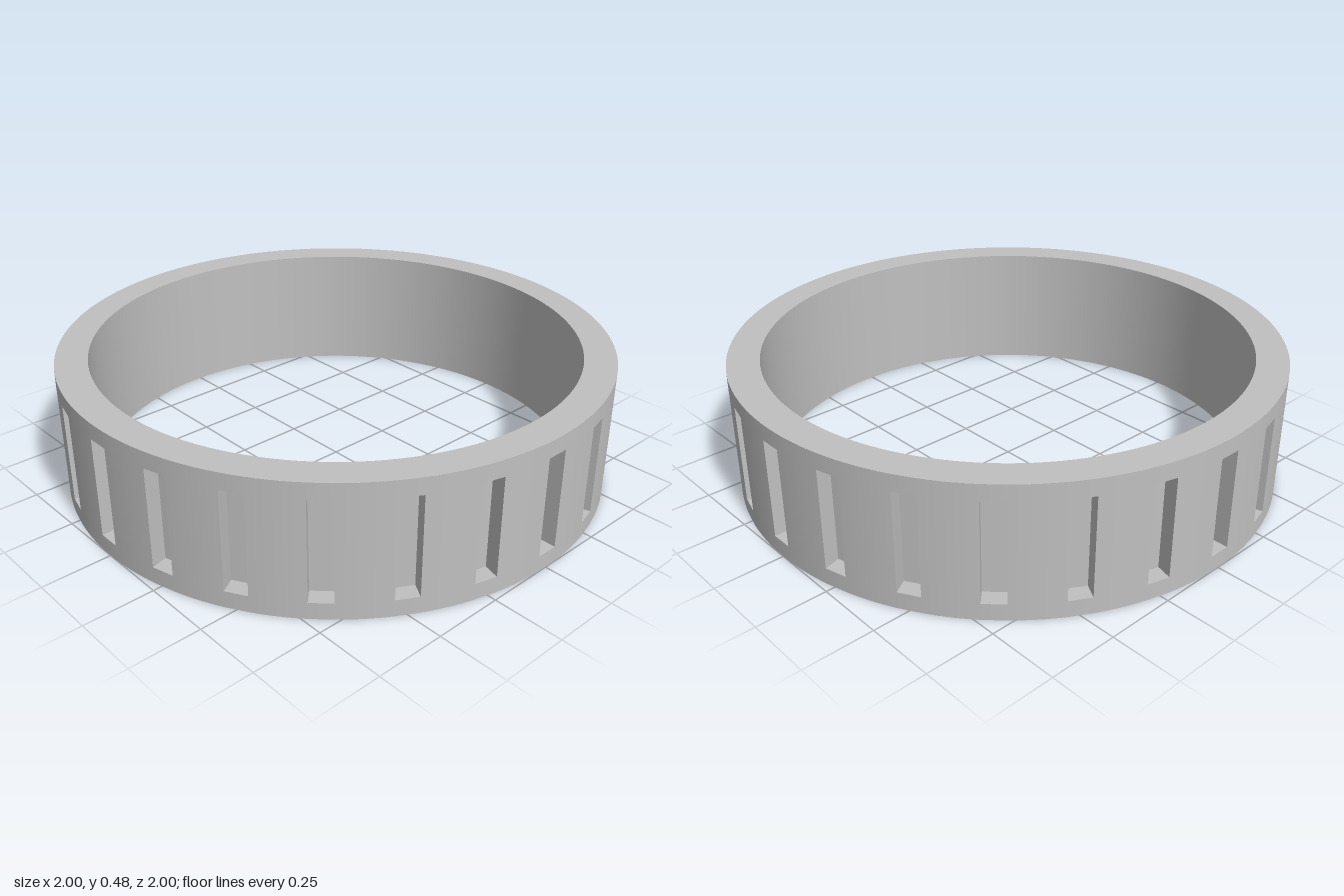
import * as THREE from 'three';
import { mergeGeometries } from 'three/addons/utils/BufferGeometryUtils.js';

const OUTER = 1, INNER = 0.885, HEIGHT = 0.48;
const SLOTS = 24, SLOT_W = 0.08, SLOT_LOW = 0.06, SLOT_HIGH = 0.42, FLOOR_R = 0.94;

// Surface swept round the y axis between two (radius, height) points
function sweep(r0, y0, r1, y1) {
  return new THREE.LatheGeometry([new THREE.Vector2(r0, y0), new THREE.Vector2(r1, y1)], 144);
}

// Piece of the outer wall between two heights and two angles
function wall(y0, y1, start, length, segments) {
  return new THREE.CylinderGeometry(OUTER, OUTER, y1 - y0, segments, 1, true, start, length)
    .translate(0, (y0 + y1) / 2, 0);
}

// Floor and four sides of one pocket, facing +z
function pocket(mouthR) {
  const h = SLOT_HIGH - SLOT_LOW, d = mouthR - FLOOR_R;
  const midY = (SLOT_HIGH + SLOT_LOW) / 2, midZ = (mouthR + FLOOR_R) / 2;
  const parts = [new THREE.PlaneGeometry(SLOT_W, h).translate(0, midY, FLOOR_R)];
  for (const s of [-1, 1]) {
    parts.push(new THREE.PlaneGeometry(d, h).rotateY(-s * Math.PI / 2).translate(s * SLOT_W / 2, midY, midZ));
    parts.push(new THREE.PlaneGeometry(SLOT_W, d).rotateX(s * Math.PI / 2).translate(0, midY + s * h / 2, midZ));
  }
  return mergeGeometries(parts);
}

export function createModel() {
  const group = new THREE.Group();
  group.name = 'slottedRing';
  const grey = new THREE.MeshStandardMaterial({ color: 0xc0c0c0 });
  grey.name = 'grey';
  const add = (name, geometry) => {
    const mesh = new THREE.Mesh(geometry, grey);
    mesh.name = name;
    group.add(mesh);
  };

  // Plain faces of the ring
  add('innerWall', sweep(INNER, HEIGHT, INNER, 0));
  add('topFace', sweep(OUTER, HEIGHT, INNER, HEIGHT));
  add('bottomFace', sweep(INNER, 0, OUTER, 0));

  // Outer wall with evenly spaced pockets
  const half = Math.asin(SLOT_W / 2 / OUTER), step = Math.PI * 2 / SLOTS;
  const walls = [], pockets = [];
  for (let i = 0; i < SLOTS; i++) {
    const a = i * step;
    walls.push(
      wall(0, SLOT_LOW, a - half, 2 * half, 1),
      wall(SLOT_HIGH, HEIGHT, a - half, 2 * half, 1),
      wall(0, HEIGHT, a + half, step - 2 * half, 5)
    );
    pockets.push(pocket(OUTER * Math.cos(half)).rotateY(a));
  }
  add('outerWall', mergeGeometries(walls));
  add('slots', mergeGeometries(pockets));
  return group;
}
